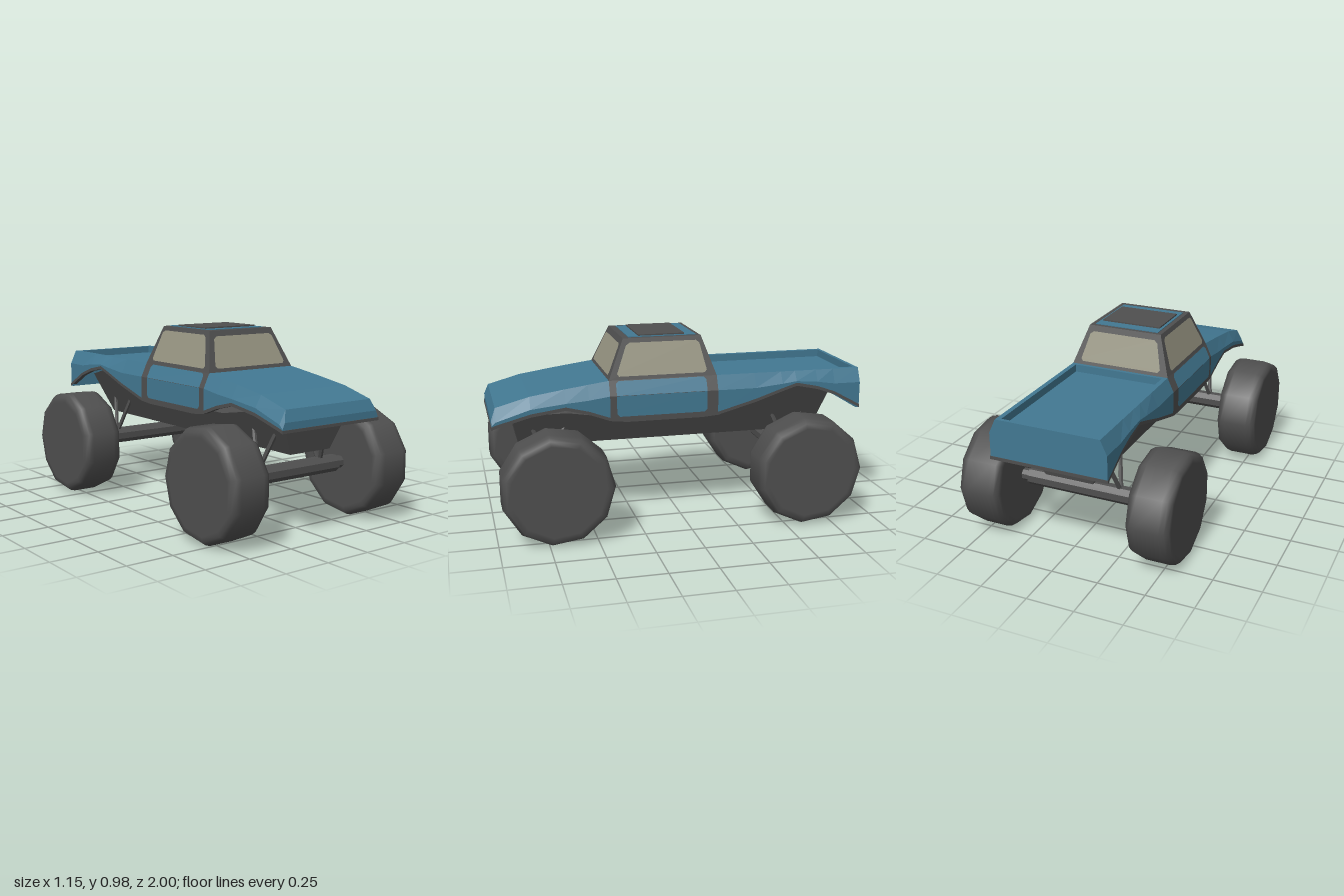
import * as THREE from 'three';

const mat = (name, color, side = THREE.FrontSide) => {
  const m = new THREE.MeshStandardMaterial({ color, side });
  m.name = name;
  return m;
};

export function createModel() {
  const model = new THREE.Group();
  model.name = 'monsterTruck';
  const blue = mat('bluePaint', 0x427892, THREE.DoubleSide);
  const grey = mat('darkGrey', 0x4f4f4f, THREE.DoubleSide);
  const glass = mat('tanGlass', 0x959380);

  const add = (name, geo, material, parent = model) => {
    const mesh = new THREE.Mesh(geo, material);
    mesh.name = name;
    parent.add(mesh);
    return mesh;
  };
  const fromTriangles = (pos) => {
    const g = new THREE.BufferGeometry();
    g.setAttribute('position', new THREE.Float32BufferAttribute(pos, 3));
    g.computeVertexNormals();
    return g;
  };
  // flat-shaded skin through cross-sections running front to back
  const loft = (sections) => {
    const pos = [];
    for (let i = 0; i < sections.length - 1; i++) {
      for (let j = 0; j < sections[i].length - 1; j++) {
        const a = sections[i][j], b = sections[i][j + 1];
        const c = sections[i + 1][j + 1], d = sections[i + 1][j];
        pos.push(...a, ...d, ...c, ...a, ...c, ...b);
      }
    }
    return fromTriangles(pos);
  };
  // thin plate from a quad; cut = which corners are clipped, lifted along its normal
  const panel = (quad, cut = [1, 1, 1, 1], size = 0.015, lift = 0.004) => {
    const q = quad.map((p) => new THREE.Vector3(...p));
    const n = q[1].clone().sub(q[0]).cross(q[2].clone().sub(q[0])).normalize();
    const ring = [];
    q.forEach((p, i) => {
      if (!cut[i]) return ring.push(p.clone());
      for (const o of [q[(i + 3) % 4], q[(i + 1) % 4]]) {
        ring.push(p.clone().add(o.clone().sub(p).setLength(size)));
      }
    });
    ring.forEach((p) => p.addScaledVector(n, lift));
    const pos = [];
    for (let i = 1; i < ring.length - 1; i++) {
      pos.push(...ring[0].toArray(), ...ring[i].toArray(), ...ring[i + 1].toArray());
    }
    return fromTriangles(pos);
  };
  const box = (w, h, d, x, y, z) => new THREE.BoxGeometry(w, h, d).translate(x, y, z);
  const W = 0.31, TW = 0.275;

  // body stations: z, lower edge, shoulder, top, top half-width
  const front = [
    [0.997, 0.56, 0.58, 0.61, 0.297], [0.975, 0.568, 0.6, 0.667, TW],
    [0.8, 0.615, 0.655, 0.715, TW], [0.62, 0.64, 0.675, 0.743, TW],
    [0.5, 0.61, 0.685, 0.76, TW], [0.39, 0.57, 0.7, 0.775, TW],
  ];
  const cab = [[0.39, 0.57, 0.7, 0.775, TW], [0.3, 0.56, 0.7, 0.775, TW],
    [-0.1, 0.56, 0.7, 0.775, TW], [-0.19, 0.567, 0.7, 0.775, TW]];
  const rear = [
    [-0.19, 0.567, 0.7, 0.775, TW], [-0.4, 0.625, 0.7, 0.775, TW],
    [-0.55, 0.675, 0.715, 0.775, TW], [-0.63, 0.7, 0.725, 0.775, TW],
    [-0.75, 0.675, 0.715, 0.775, TW], [-0.85, 0.64, 0.7, 0.775, TW],
    [-0.997, 0.56, 0.7, 0.775, TW],
  ];
  const shell = ([z, b, s, t, w]) => [[W, b, z], [W, s, z], [w, t, z],
    [-w, t, z], [-W, s, z], [-W, b, z]];
  const bedShell = ([z, b, s, t, w]) => [[W, b, z], [W, s, z], [w, t, z],
    [0.25, t, z], [0.25, 0.735, z], [-0.25, 0.735, z], [-0.25, t, z],
    [-w, t, z], [-W, s, z], [-W, b, z]];
  add('hood', loft(front.map(shell)), blue);
  add('cabLower', loft(cab.map(shell)), grey);
  add('cargoBed', loft(rear.map(bedShell)), blue);

  // nose, tailgate and bed front wall
  const outline = (b, s, t, tw) => new THREE.Shape([[-W, b], [W, b], [W, s], [tw, t], [-tw, t], [-W, s]]
    .map((p) => new THREE.Vector2(...p)));
  const slab = (shape, depth, z) =>
    new THREE.ExtrudeGeometry(shape, { depth, bevelEnabled: false }).translate(0, 0, z);
  add('nose', slab(outline(0.56, 0.58, 0.61, 0.297), 0.004, 0.993), blue);
  add('tailgate', slab(outline(0.56, 0.7, 0.775, TW), 0.02, -0.998), blue);
  add('bedFrontWall', box(0.55, 0.04, 0.02, 0, 0.755, -0.2), blue);

  // lower trim following the wheel arches
  for (const s of [1, -1]) {
    const strip = [...front, ...cab.slice(1), ...rear.slice(1)].map(([z, b]) => {
      const pts = [[s * 0.285, b, z], [s * 0.313, b, z], [s * 0.313, b + 0.017, z]];
      return s > 0 ? pts : pts.reverse();
    });
    add('lowerTrim', loft(strip), grey);
  }
  add('frontTrim', box(0.626, 0.015, 0.006, 0, 0.5675, 0.997), grey);
  add('rearTrim', box(0.626, 0.017, 0.006, 0, 0.5685, -0.997), grey);

  // tapered cab
  const cabX = (y) => TW - 0.07 * (y - 0.775) / 0.205;
  const frontZ = (y) => 0.39 - 0.09 * (y - 0.775) / 0.205;
  const backZ = (y) => -0.19 + 0.07 * (y - 0.775) / 0.205;
  const cabGeo = new THREE.BoxGeometry(2, 0.205, 2).translate(0, 0.8775, 0);
  const cp = cabGeo.attributes.position;
  for (let i = 0; i < cp.count; i++) {
    const y = cp.getY(i);
    cp.setXYZ(i, Math.sign(cp.getX(i)) * cabX(y), y, cp.getZ(i) > 0 ? frontZ(y) : backZ(y));
  }
  cabGeo.computeVertexNormals();
  add('cabUpper', cabGeo, grey);
  add('roofPanel', box(0.36, 0.006, 0.365, 0, 0.98, 0.083), blue);
  add('roofHatch', box(0.33, 0.012, 0.25, 0, 0.984, 0.085), grey);

  // windows
  const lo = 0.792, hi = 0.95;
  add('windshield', panel([[-0.232, lo, frontZ(lo)], [0.232, lo, frontZ(lo)],
    [0.19, hi, frontZ(hi)], [-0.19, hi, frontZ(hi)]]), glass);
  add('rearWindow', panel([[0.232, lo, backZ(lo)], [-0.232, lo, backZ(lo)],
    [-0.19, hi, backZ(hi)], [0.19, hi, backZ(hi)]]), glass);
  for (const s of [1, -1]) {
    const orient = (q) => (s > 0 ? q : [q[1], q[0], q[3], q[2]]);
    const side = (q, cut) => panel(orient(q.map(([x, y, z]) => [s * x, y, z])), cut);
    add('sideWindow', side([[cabX(lo), lo, 0.35], [cabX(lo), lo, -0.14],
      [cabX(0.957), 0.957, -0.105], [cabX(0.957), 0.957, 0.282]]), glass);
    // door, folded at the shoulder
    add('doorLower', side([[W, 0.59, 0.355], [W, 0.59, -0.13], [W, 0.7, -0.13], [W, 0.7, 0.355]],
      [1, 1, 0, 0]), blue);
    add('doorUpper', side([[W, 0.7, 0.355], [W, 0.7, -0.13], [0.277, 0.771, -0.13], [0.277, 0.771, 0.355]],
      [0, 0, 1, 1]), blue);
  }

  // chassis: side profile (z, y) narrowed toward the bottom
  const profile = new THREE.Shape([
    [0.85, 0.415], [0.89, 0.6], [0.6, 0.6], [0.4, 0.565], [-0.2, 0.565], [-0.4, 0.635],
    [-0.55, 0.683], [-0.7, 0.683], [-0.85, 0.645], [-0.79, 0.415],
  ].map((p) => new THREE.Vector2(...p)));
  const chassis = new THREE.ExtrudeGeometry(profile, { depth: 2, bevelEnabled: false })
    .translate(0, 0, -1).rotateY(-Math.PI / 2);
  const ch = chassis.attributes.position;
  for (let i = 0; i < ch.count; i++) {
    ch.setX(i, Math.sign(ch.getX(i)) * (0.13 + (ch.getY(i) - 0.415) * 0.45));
  }
  chassis.computeVertexNormals();
  add('chassis', chassis, grey);

  // axles, struts and wheels
  const rod = (a, b, r, sides) => {
    const A = new THREE.Vector3(...a), B = new THREE.Vector3(...b), d = B.clone().sub(A);
    const g = new THREE.CylinderGeometry(r, r, d.length(), sides).rotateY(Math.PI / sides);
    g.applyQuaternion(new THREE.Quaternion().setFromUnitVectors(new THREE.Vector3(0, 1, 0), d.normalize()));
    const flat = g.toNonIndexed().translate(...A.add(B).multiplyScalar(0.5).toArray());
    flat.computeVertexNormals();
    return flat;
  };
  const tire = new THREE.LatheGeometry([
    [0, -0.111], [0.24, -0.111], [0.268, -0.111], [0.283, -0.09], [0.29, -0.065],
    [0.29, 0.065], [0.283, 0.09], [0.268, 0.111], [0.24, 0.111], [0, 0.111],
  ].map((p) => new THREE.Vector2(...p)), 11, Math.PI).rotateZ(Math.PI / 2);
  for (const [name, z] of [['front', 0.697], ['rear', -0.627]]) {
    const set = new THREE.Group();
    set.name = name + 'AxleAssembly';
    set.position.z = z;
    model.add(set);
    add('axle', rod([-W, 0.293, 0], [W, 0.293, 0], 0.046, 8), grey, set);
    add('axleShaft', rod([-0.37, 0.293, 0], [0.37, 0.293, 0], 0.033, 8), grey, set);
    for (const s of [1, -1]) {
      add('wheel', tire, grey, set).position.set(s * 0.4625, 0.293, 0);
      for (const dz of [0.09, -0.09]) {
        add('strut', rod([s * 0.208, 0.31, 0], [s * 0.16, 0.53, dz], 0.012, 6), grey, set);
      }
    }
  }
  return model;
}
